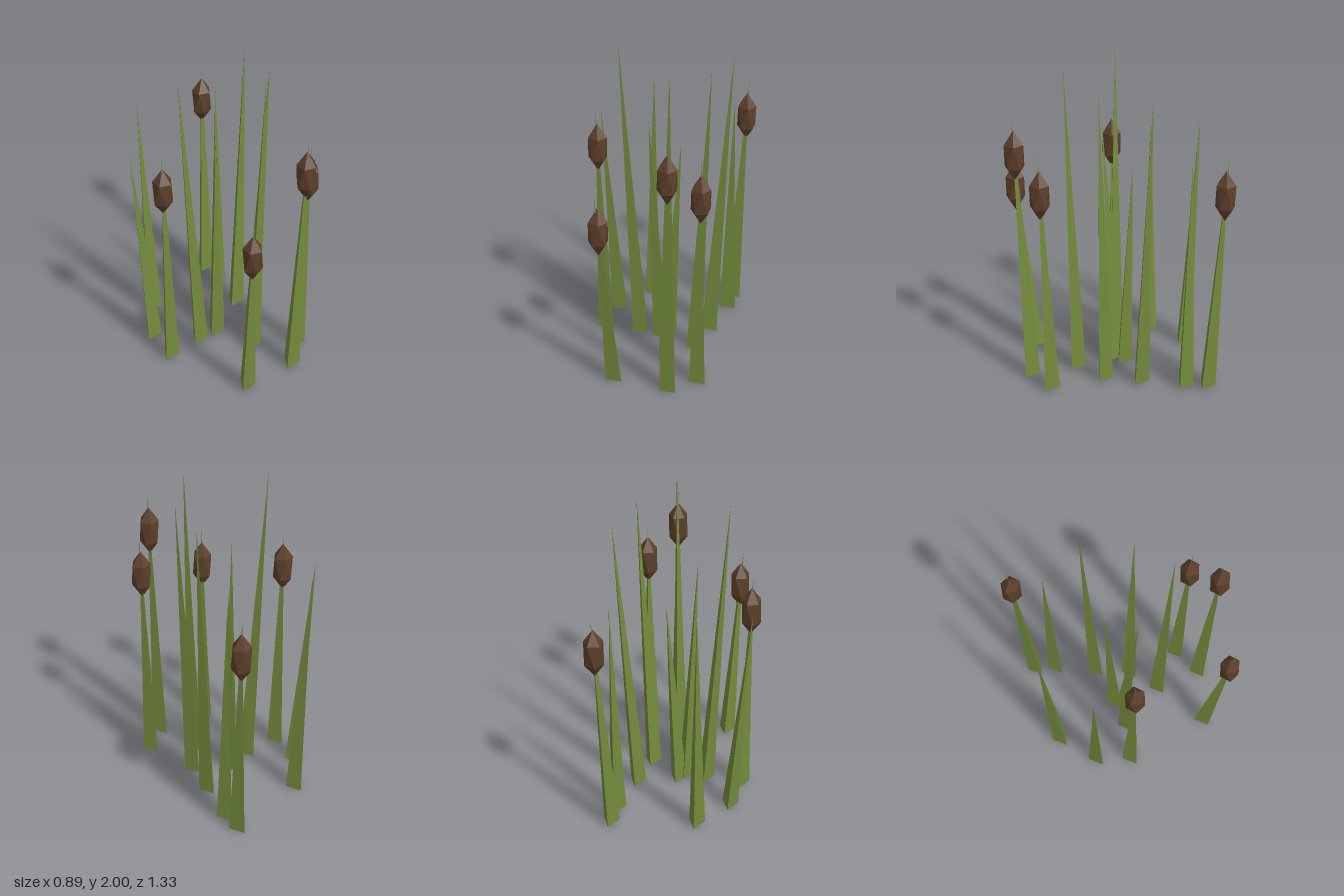
import * as THREE from 'three';

const GREEN = new THREE.MeshStandardMaterial({ color: 0x748a3c, flatShading: true });
const BROWN = new THREE.MeshStandardMaterial({ color: 0x5c3f2a, flatShading: true });
const UP = new THREE.Vector3(0, 1, 0);

// Plain blades: base x, z, then tip x, y, z
const BLADES = [
  [-0.166, -0.434, -0.183, 1.56, -0.508],
  [-0.328, -0.215, -0.44, 1.44, -0.225],
  [-0.123, 0.007, -0.253, 2.0, 0.0],
  [0.008, 0.007, -0.05, 1.56, 0.08],
  [0.048, -0.043, 0.1, 1.35, -0.093],
  [0.289, -0.139, 0.384, 1.91, -0.196],
  [0.346, -0.409, 0.346, 1.49, -0.425],
  [0.247, 0.081, 0.323, 1.93, 0.105],
  [0.113, 0.25, 0.132, 2.0, 0.3],
];

// Stalks with a seed head: base x, z, then head x, y, z
const STALKS = [
  [-0.353, 0.007, -0.385, 1.305, 0.018],
  [0.349, -0.543, 0.384, 1.305, -0.612],
  [0.346, 0.409, 0.355, 1.305, 0.443],
  [0.194, 0.533, 0.198, 1.487, 0.587],
  [-0.148, 0.515, -0.199, 1.1, 0.609],
];

// Three-sided spike leaning from its base to its tip
function makeBlade(name, base, tip) {
  const lean = tip.clone().sub(base);
  const length = lean.length();
  const geometry = new THREE.ConeGeometry(0.0577, length, 3);
  geometry.rotateY(Math.PI).translate(0, length / 2, 0);
  const blade = new THREE.Mesh(geometry, GREEN);
  blade.name = name;
  blade.position.copy(base);
  blade.quaternion.setFromUnitVectors(UP, lean.normalize());
  return blade;
}

// Icosahedron standing on one corner, stretched upright
function makeHead(center) {
  const geometry = new THREE.IcosahedronGeometry(1, 0);
  geometry.rotateZ(Math.atan(2 / (1 + Math.sqrt(5)))).rotateY(Math.PI);
  geometry.scale(0.066, 0.158, 0.066);
  const head = new THREE.Mesh(geometry, BROWN);
  head.name = 'seedHead';
  head.position.copy(center);
  return head;
}

export function createModel() {
  const model = new THREE.Group();
  model.name = 'reeds';

  for (const [bx, bz, tx, ty, tz] of BLADES) {
    model.add(makeBlade('blade', new THREE.Vector3(bx, 0.002, bz), new THREE.Vector3(tx, ty, tz)));
  }

  for (const [bx, bz, hx, hy, hz] of STALKS) {
    const base = new THREE.Vector3(bx, 0.002, bz);
    const center = new THREE.Vector3(hx, hy, hz);
    // The stalk runs through the head and ends a little above it
    const tip = base.clone().lerp(center, (hy + 0.24) / hy);
    const reed = new THREE.Group();
    reed.name = 'headedReed';
    reed.add(makeBlade('stalk', base, tip), makeHead(center));
    model.add(reed);
  }
  return model;
}
